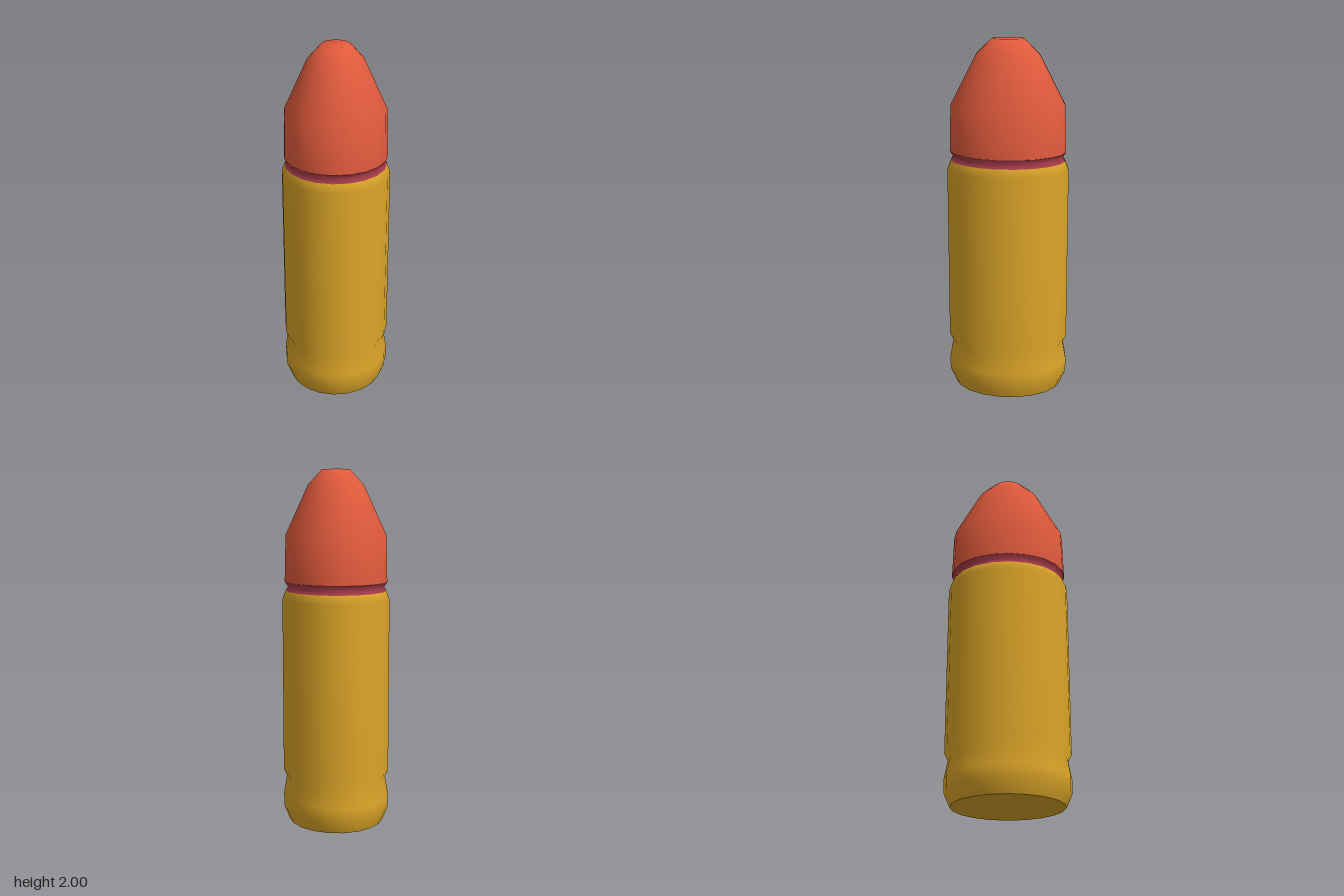
import * as THREE from 'three';

const SIDES = 20;

// Smooth lathe part from [radius, height] pairs, listed bottom to top
function turned(name, color, profile) {
  const points = profile.map(([r, y]) => new THREE.Vector2(r, y));
  const mesh = new THREE.Mesh(
    new THREE.LatheGeometry(points, SIDES),
    new THREE.MeshStandardMaterial({ color })
  );
  mesh.name = name;
  return mesh;
}

export function createModel() {
  const group = new THREE.Group();
  group.name = 'cartridge';
  const gold = 0xdca528, red = 0xe05a3c, crimson = 0xa83c4b;

  // Casing with a bulged foot and extraction groove
  group.add(turned('casing', gold, [
    [0.31, 0], [0.343, 0.075], [0.345, 0.15], [0.325, 0.255],
    [0.345, 0.295], [0.345, 1.28], [0.325, 1.327],
  ]));

  // Flat underside
  const base = new THREE.Mesh(
    new THREE.CircleGeometry(0.31, SIDES),
    new THREE.MeshStandardMaterial({ color: gold })
  );
  base.geometry.rotateX(Math.PI / 2);
  base.name = 'base';
  group.add(base);

  // Pinched band between casing and tip
  group.add(turned('neckBand', crimson, [[0.325, 1.327], [0.309, 1.35], [0.33, 1.378]]));

  // Rounded tip with a small blunt end
  group.add(turned('tip', red, [
    [0.33, 1.378], [0.322, 1.64], [0.178, 1.915], [0.09, 2], [0, 2],
  ]));

  // The cross-section is an ellipse, narrower from side to side
  for (const mesh of group.children) mesh.geometry.scale(0.88, 1, 1);
  return group;
}
